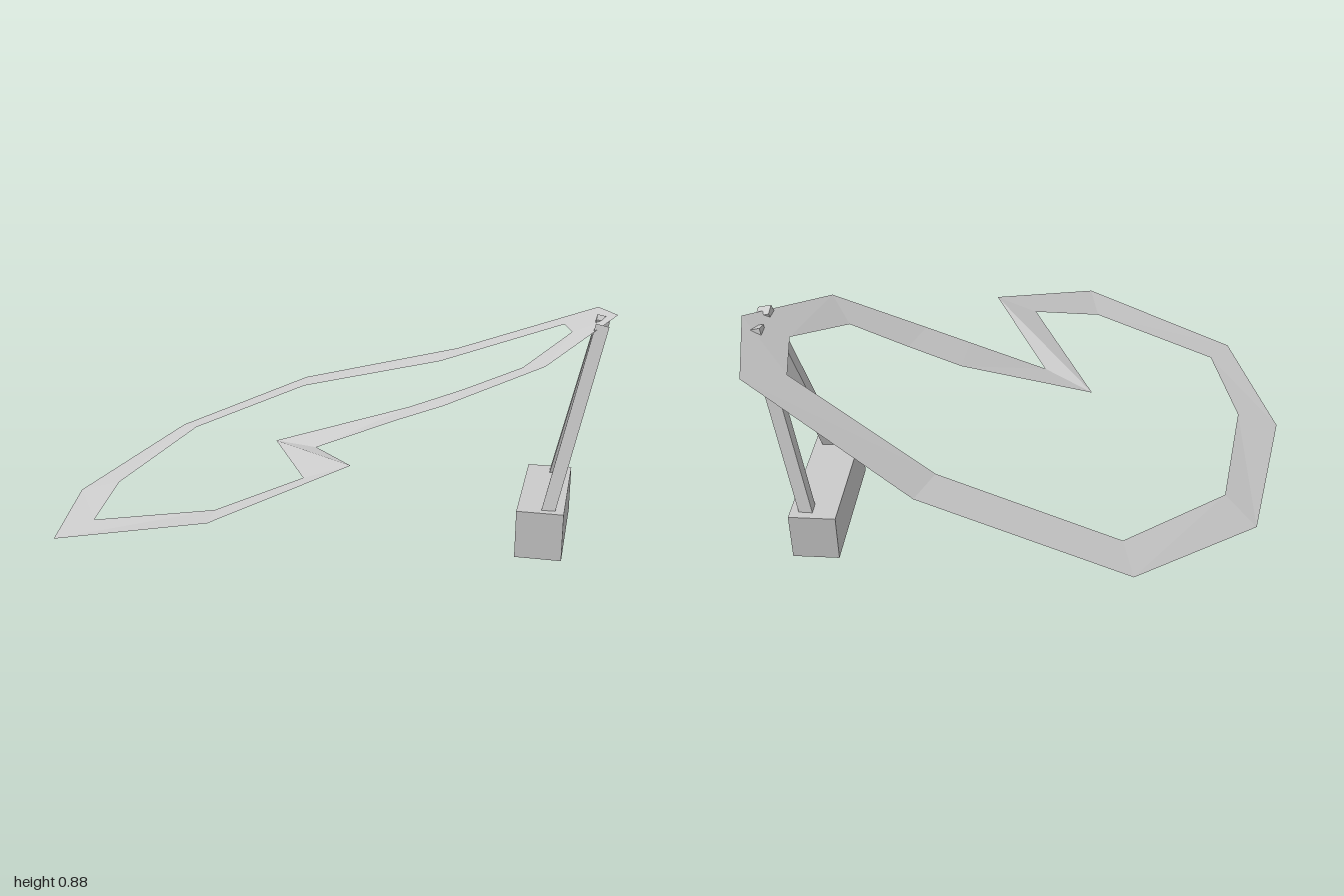
import * as THREE from 'three';

// Outer and inner edge of the track at each station: [x, y, z, x, y, z]
const stations = [
  [-0.40, 0.373, -0.94, -0.365, 0.38, -0.77],
  [0.315, 0.575, -0.84, 0.265, 0.555, -0.675],
  [0.915, 0.842, -0.58, 0.79, 0.79, -0.462],
  [0.995, 0.885, -0.235, 0.83, 0.81, -0.245],
  [0.76, 0.77, 0.148, 0.67, 0.725, 0.005],
  [0.41, 0.615, 0.19, 0.455, 0.63, 0.013],
  [0.24, 0.55, 0.193, 0.255, 0.55, 0.015],
  [-0.055, 0.43, 0.21, -0.245, 0.403, 0.088],
  [0.17, 0.52, 0.628, 0.005, 0.46, 0.618],
  [-0.225, 0.40, 0.935, -0.26, 0.375, 0.76],
  [-0.84, 0.226, 0.785, -0.755, 0.247, 0.64],
  [-1.0, 0.187, 0.225, -0.84, 0.233, 0.225],
  [-0.845, 0.243, -0.502, -0.74, 0.279, -0.37],
];

export function createModel() {
  const model = new THREE.Group();
  const grey = new THREE.MeshStandardMaterial({ color: 0xcccccc, flatShading: true });
  const thin = grey.clone();
  thin.side = THREE.DoubleSide;

  const add = (name, geometry, material = grey) => {
    const mesh = new THREE.Mesh(geometry, material);
    mesh.name = name;
    model.add(mesh);
    return mesh;
  };

  // Thin, tilted closed ribbon joined station to station
  const index = [];
  stations.forEach((_, i) => {
    const a = i * 2, b = ((i + 1) % stations.length) * 2;
    index.push(a, a + 1, b, b, a + 1, b + 1);
  });
  const ribbon = new THREE.BufferGeometry();
  ribbon.setAttribute('position', new THREE.Float32BufferAttribute(stations.flat(), 3));
  ribbon.setIndex(index);
  ribbon.computeVertexNormals();
  add('track', ribbon, thin);

  // Foundation block
  add('base', new THREE.BoxGeometry(0.175, 0.185, 0.545)).position.set(0.7625, 0.0925, -0.2125);

  // Two square struts leaning together up to the ribbon
  const centreZ = -0.2125;
  for (const side of [1, -1]) {
    const foot = new THREE.Vector3(0.782, 0.14, centreZ + side * 0.225);
    const top = new THREE.Vector3(0.942, 0.861, centreZ + side * 0.061);
    const dir = top.clone().sub(foot);
    const strut = add(side > 0 ? 'frontStrut' : 'backStrut',
      new THREE.BoxGeometry(0.05, dir.length(), 0.05));
    strut.position.copy(foot).add(top).multiplyScalar(0.5);
    strut.quaternion.setFromUnitVectors(new THREE.Vector3(0, 1, 0), dir.normalize());
  }

  return model;
}
